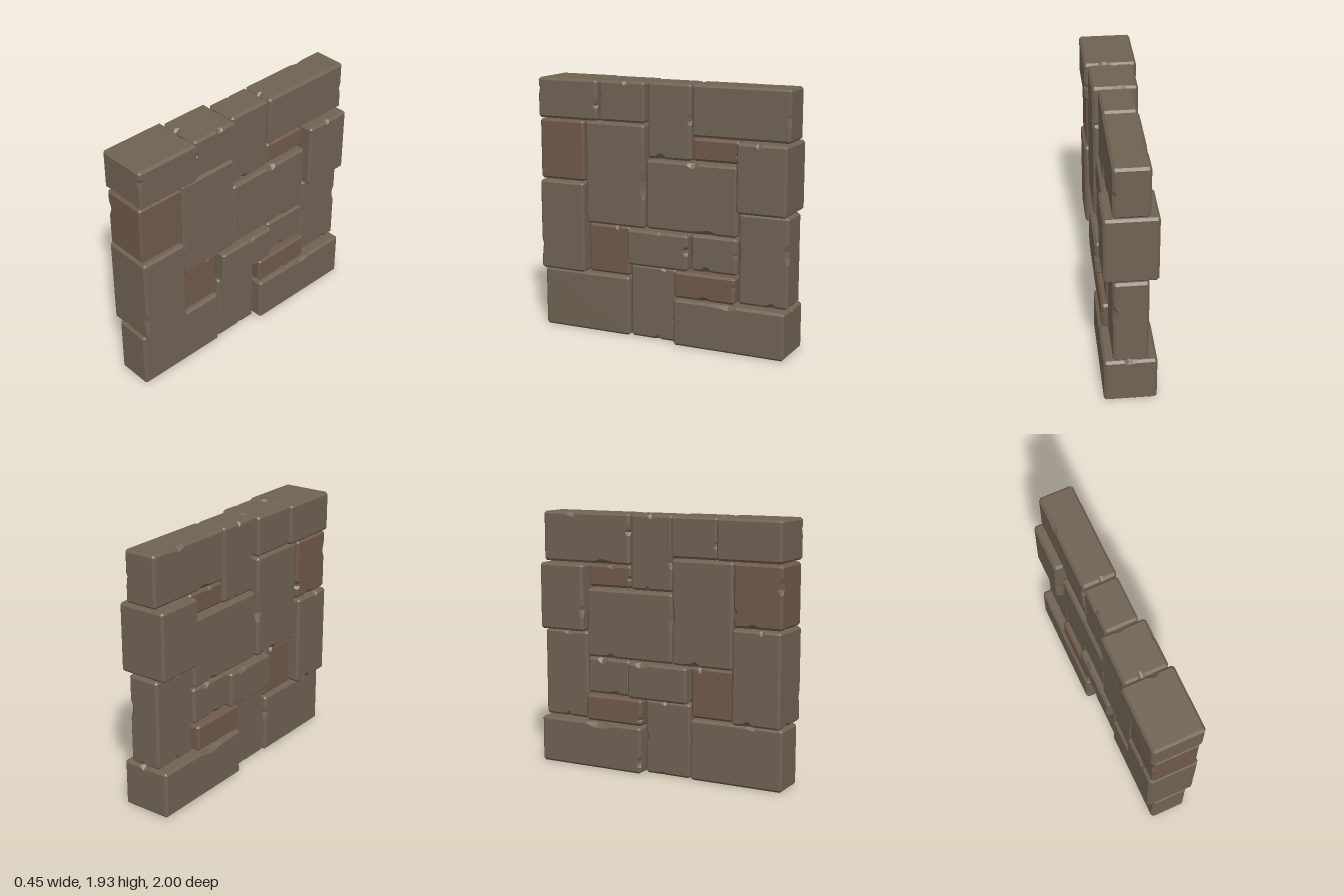
import * as THREE from 'three';

// Small seeded generator for the chipped edges
let seed = 7;
const rand = () => {
  seed = (seed * 16807) % 2147483647;
  return seed / 2147483647;
};

const BEVEL = 0.017;

// Bevelled stone block, half sizes h = [x, y, z], with irregular chips along some edges
function stoneGeometry(h) {
  const positions = [];
  const ab = new THREE.Vector3(), ac = new THREE.Vector3(), mid = new THREE.Vector3();
  const tri = (a, b, c) => {
    ab.subVectors(b, a);
    ac.subVectors(c, a);
    mid.copy(a).add(b).add(c);
    const order = ab.cross(ac).dot(mid) < 0 ? [a, c, b] : [a, b, c]; // face outwards
    for (const p of order) positions.push(p.x, p.y, p.z);
  };
  const sides = [-1, 1];
  // Points bordering each face, keyed by face axis/sign and neighbouring axis/sign
  const borders = {};
  const key = (a, s, c, sc) => [a, s, c, sc].join();

  for (let k = 0; k < 3; k++) {
    const a = (k + 1) % 3, c = (k + 2) % 3;
    for (const sa of sides) for (const sc of sides) {
      const end = h[k] - BEVEL;
      const steps = [[-end, BEVEL, BEVEL]];
      if (rand() < 0.5) {
        const start = -0.85 + rand() * 1.1;
        const long = 0.25 + rand() * 0.35;
        for (let i = 0; i < 4; i++) {
          const chip = i === 0 || i === 3 ? 0 : 0.004 + rand() * 0.022;
          steps.push([end * (start + long * i / 3), BEVEL + chip * 0.7, BEVEL + chip]);
        }
      }
      steps.push([end, BEVEL, BEVEL]);
      const point = (t, da, dc) => {
        const p = new THREE.Vector3();
        p.setComponent(k, t);
        p.setComponent(a, sa * (h[a] - da));
        p.setComponent(c, sc * (h[c] - dc));
        return p;
      };
      const onA = steps.map(([t, , w]) => point(t, 0, w));
      const onC = steps.map(([t, w]) => point(t, w, 0));
      borders[key(a, sa, c, sc)] = onA;
      borders[key(c, sc, a, sa)] = onC;
      for (let i = 0; i < steps.length - 1; i++) {
        tri(onA[i], onA[i + 1], onC[i]);
        tri(onA[i + 1], onC[i + 1], onC[i]);
      }
    }
  }

  // Flat faces bounded by the chipped borders
  for (let a = 0; a < 3; a++) for (const s of sides) {
    const u = (a + 1) % 3, v = (a + 2) % 3;
    const loop = [
      borders[key(a, s, v, -1)],
      borders[key(a, s, u, 1)],
      [...borders[key(a, s, v, 1)]].reverse(),
      [...borders[key(a, s, u, -1)]].reverse(),
    ].flatMap((edge) => edge.slice(0, -1));
    const flat = loop.map((p) => new THREE.Vector2(p.getComponent(u), p.getComponent(v)));
    for (const [i, j, k] of THREE.ShapeUtils.triangulateShape(flat, [])) tri(loop[i], loop[j], loop[k]);
  }

  // Corner facets
  for (const x of sides) for (const y of sides) for (const z of sides) {
    const [X, Y, Z] = h;
    const b = BEVEL;
    tri(
      new THREE.Vector3(x * X, y * (Y - b), z * (Z - b)),
      new THREE.Vector3(x * (X - b), y * Y, z * (Z - b)),
      new THREE.Vector3(x * (X - b), y * (Y - b), z * Z),
    );
  }

  const geometry = new THREE.BufferGeometry();
  geometry.setAttribute('position', new THREE.Float32BufferAttribute(positions, 3));
  geometry.computeVertexNormals();
  return geometry;
}

// Stones: z from, z to, y from, y to, half thickness, reddish
const STONES = [
  // top course
  [0.495, 0.993, 1.63, 1.93, 0.192],
  [0.12, 0.49, 1.63, 1.93, 0.165],
  [-0.235, 0.11, 1.375, 1.93, 0.123],
  [-0.993, -0.245, 1.555, 1.93, 0.128],
  // middle courses
  [-0.605, -0.245, 1.38, 1.545, 0.112, true],
  [-0.993, -0.615, 1.04, 1.545, 0.19],
  [-0.993, -0.615, 0.362, 1.03, 0.125],
  [0.62, 0.993, 1.165, 1.62, 0.172, true],
  [0.125, 0.61, 0.85, 1.62, 0.16],
  [-0.605, 0.115, 0.85, 1.365, 0.143],
  [0.62, 0.993, 0.465, 1.155, 0.19],
  [0.265, 0.61, 0.465, 0.84, 0.12, true],
  [-0.235, 0.255, 0.57, 0.84, 0.186],
  [-0.605, -0.245, 0.57, 0.84, 0.135],
  [-0.605, -0.125, 0.362, 0.56, 0.172, true],
  // bottom course
  [-0.115, 0.255, 0, 0.56, 0.12],
  [0.265, 0.993, 0, 0.455, 0.138],
  [-0.993, -0.125, 0, 0.352, 0.19],
];

export function createModel() {
  const wall = new THREE.Group();
  wall.name = 'stoneWall';
  const brown = new THREE.MeshStandardMaterial({ color: 0x6f6252, flatShading: true });
  const reddish = new THREE.MeshStandardMaterial({ color: 0x6f5a49, flatShading: true });

  STONES.forEach(([z0, z1, y0, y1, half, red], i) => {
    const geometry = stoneGeometry([half, (y1 - y0) / 2, (z1 - z0) / 2]);
    const stone = new THREE.Mesh(geometry, red ? reddish : brown);
    stone.name = `stone${i + 1}`;
    stone.position.set(0, (y0 + y1) / 2, (z0 + z1) / 2);
    wall.add(stone);
  });

  // The wall stands slightly turned
  wall.rotation.y = -0.035;
  const model = new THREE.Group();
  model.name = 'wallSection';
  model.add(wall);
  return model;
}
